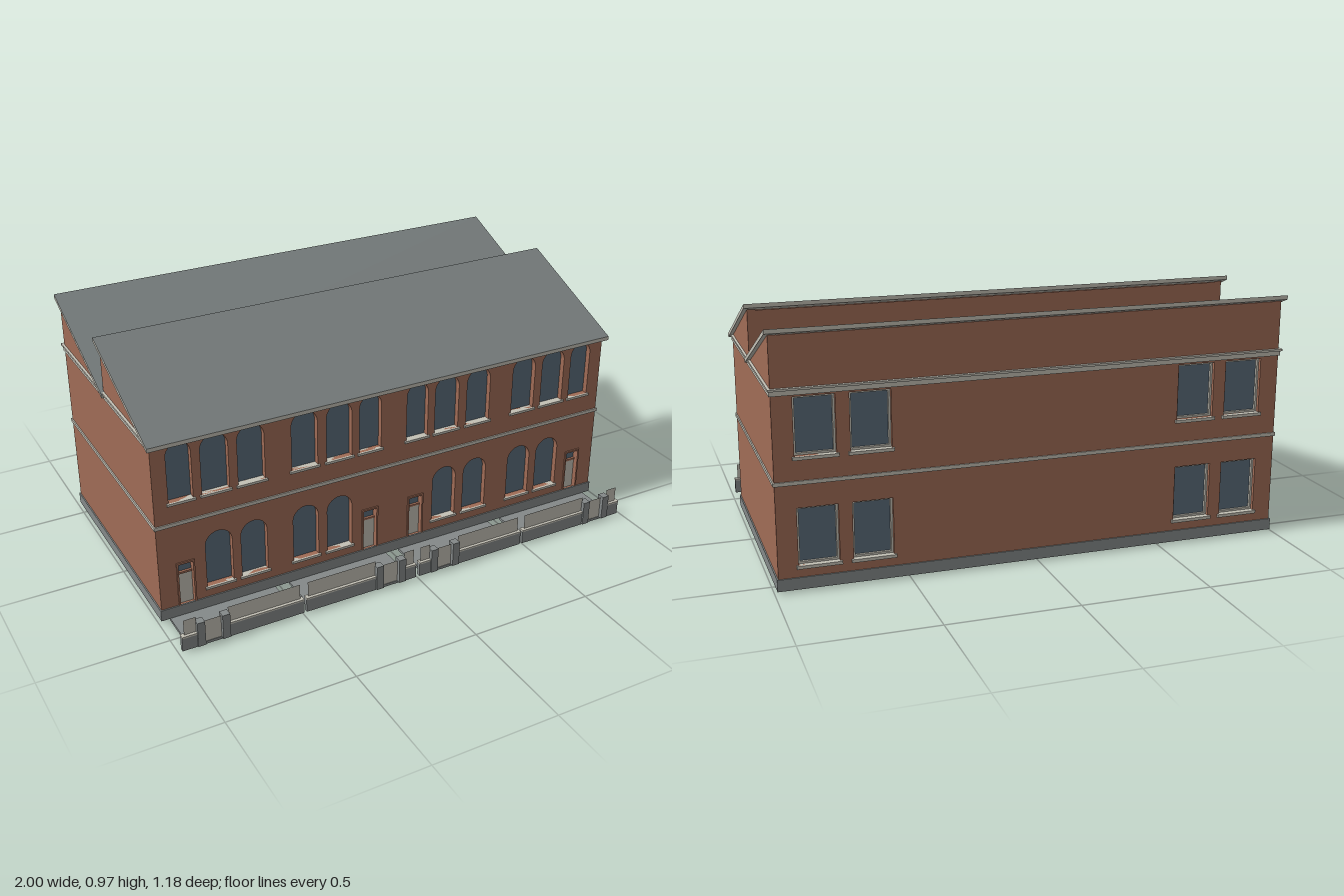
import * as THREE from 'three';

const mat = (name, color, side = THREE.FrontSide) => {
  const m = new THREE.MeshStandardMaterial({ color, side });
  m.name = name;
  return m;
};

export function createModel() {
  const brick = mat('brick', 0xa06c56);
  const trim = mat('trim', 0xc3c0b5);
  const panel = mat('panel', 0xc3c0b5, THREE.DoubleSide);
  const stone = mat('stone', 0x848989);
  const slate = mat('slate', 0x757b7b);
  const glass = mat('glass', 0x5a6c7a, THREE.DoubleSide);

  const model = new THREE.Group();
  model.name = 'terraceBuilding';

  const add = (name, geo, material, x = 0, y = 0, z = 0) => {
    const m = new THREE.Mesh(geo, material);
    m.name = name;
    m.position.set(x, y, z);
    model.add(m);
    return m;
  };
  // Box given by its limits on each axis
  const box = (name, material, x0, x1, y0, y1, z0, z1) =>
    add(name, new THREE.BoxGeometry(x1 - x0, y1 - y0, z1 - z0), material,
      (x0 + x1) / 2, (y0 + y1) / 2, (z0 + z1) / 2);
  const both = (list) => list.flatMap((v) => [v, -v]);

  const rect = (T, x0, x1, y0, y1) => {
    const s = new T();
    s.moveTo(x0, y0);
    s.lineTo(x1, y0);
    s.lineTo(x1, y1);
    s.lineTo(x0, y1);
    s.closePath();
    return s;
  };
  const arch = (T, x, w, y0, y1) => {
    const s = new T(), r = w / 2;
    s.moveTo(x - r, y0);
    s.lineTo(x + r, y0);
    s.lineTo(x + r, y1 - r);
    s.absarc(x, y1 - r, r, 0, Math.PI, false);
    s.closePath();
    return s;
  };
  const extrude = (shape, depth) =>
    new THREE.ExtrudeGeometry(shape, { depth, bevelEnabled: false, curveSegments: 12 });

  // Front wall with arched windows and doors
  const front = rect(THREE.Shape, -0.985, 0.985, 0.01, 0.744);
  const wide = both([0.744, 0.601, 0.384, 0.238]);
  const narrow = both([0.88, 0.104]);
  const arches = [
    ...wide.map((x) => [x, 0.108, 0.5, 0.736]),
    ...narrow.map((x) => [x, 0.095, 0.5, 0.736]),
    ...wide.map((x) => [x, 0.108, 0.1, 0.332]),
  ];
  for (const a of arches) {
    front.holes.push(arch(THREE.Path, ...a));
    add('archedWindow', new THREE.ShapeGeometry(arch(THREE.Shape, ...a)), glass, 0, 0, 0.362);
    const [x, w, y] = a;
    box('windowSill', trim, x - w / 2 - 0.008, x + w / 2 + 0.008, y - 0.01, y, 0.36, 0.393);
  }
  for (const x of narrow) {
    front.holes.push(rect(THREE.Path, x - 0.029, x + 0.029, 0.05, 0.232));
    box('doorLeaf', trim, x - 0.029, x + 0.029, 0.05, 0.18, 0.357, 0.368);
    box('doorTransomBar', brick, x - 0.029, x + 0.029, 0.18, 0.188, 0.357, 0.372);
    add('doorTransomLight', new THREE.PlaneGeometry(0.058, 0.044), glass, x, 0.21, 0.362);
    // Raised surround
    for (const s of [-1, 1])
      box('doorJamb', brick, x + s * 0.0325 - 0.0035, x + s * 0.0325 + 0.0035, 0.055, 0.232, 0.38, 0.39);
    box('doorLintel', brick, x - 0.036, x + 0.036, 0.232, 0.24, 0.38, 0.39);
  }
  add('frontWall', extrude(front, 0.03), brick, 0, 0, 0.355);

  // Back wall with paired rectangular windows
  const back = rect(THREE.Shape, -0.985, 0.985, 0.01, 0.94);
  for (const x of both([0.835, 0.635])) for (const y of [0.1, 0.505]) {
    const x0 = x - 0.075, x1 = x + 0.075, y1 = y + 0.215;
    back.holes.push(rect(THREE.Path, x0, x1, y, y1));
    add('backWindow', new THREE.PlaneGeometry(0.15, 0.215), glass, x, y + 0.1075, -0.545);
    box('backWindowSill', trim, x0 - 0.008, x1 + 0.008, y - 0.012, y, -0.58, -0.545);
    const frame = rect(THREE.Shape, x0, x1, y, y1);
    frame.holes.push(rect(THREE.Path, x0 + 0.008, x1 - 0.008, y + 0.008, y1 - 0.008));
    add('backWindowFrame', extrude(frame, 0.01), trim, 0, 0, -0.556);
  }
  add('backWall', extrude(back, 0.03), brick, 0, 0, -0.57);

  // Side walls with a sawtooth top
  const side = new THREE.Shape([
    [0.385, 0.01], [0.385, 0.744], [-0.09, 0.94], [-0.09, 0.744], [-0.57, 0.942], [-0.57, 0.01],
  ].map(([z, y]) => new THREE.Vector2(z, y)));
  for (const x of [0.985, -0.955])
    add('sideWall', extrude(side, 0.03), brick, x).rotation.y = -Math.PI / 2;
  box('roofStepWall', brick, -0.985, 0.985, 0.745, 0.936, -0.09, -0.07);

  // Bands running round the building
  const band = (name, material, y0, y1, out) => {
    const s = rect(THREE.Shape, -0.985 - out, 0.985 + out, -0.385 - out, 0.57 + out);
    s.holes.push(rect(THREE.Path, -0.983, 0.983, -0.383, 0.568));
    add(name, extrude(s, y1 - y0), material, 0, y0, 0).rotation.x = -Math.PI / 2;
  };
  band('plinth', stone, 0.01, 0.055, 0.005);
  band('stringCourse', trim, 0.402, 0.416, 0.005);
  band('cornice', trim, 0.727, 0.747, 0.005);
  box('eavesPlate', trim, -0.995, 0.995, 0.746, 0.754, -0.585, 0.395);

  // Two sloping roofs, sheared so that their ends stay vertical
  for (const z of [0.146, -0.33]) {
    const g = new THREE.BoxGeometry(2, 0.016, 0.52);
    const p = g.attributes.position;
    for (let i = 0; i < p.count; i++) p.setY(i, p.getY(i) - 0.4135 * p.getZ(i));
    g.computeVertexNormals();
    add('roofSlope', g, [trim, trim, slate, trim, trim, trim], 0, 0.85, z);
  }

  // Forecourt and front boundary, mirrored
  for (const s of [-1, 1]) {
    const span = (name, material, a, b, ...rest) =>
      box(name, material, Math.min(s * a, s * b), Math.max(s * a, s * b), ...rest);
    for (const [a, b] of [[0.03, 0.462], [0.522, 0.955]])
      span('forecourtSlab', stone, a, b, 0, 0.011, 0.385, 0.58);
    for (const [a, b] of [[0.008, 0.06], [0.185, 0.486], [0.496, 0.8], [0.922, 0.985]]) {
      span('boundaryWall', stone, a, b, 0.005, 0.06, 0.57, 0.587);
      span('wallCoping', trim, a, b, 0.06, 0.067, 0.567, 0.59);
    }
    for (const x of [0.073, 0.172, 0.813, 0.911])
      span('gatePillar', stone, x - 0.015, x + 0.015, 0.008, 0.11, 0.562, 0.594);
    // Thin railing panels and gates
    const sheet = (name, a, b, y0, y1) =>
      add(name, new THREE.PlaneGeometry(b - a, y1 - y0), panel, s * (a + b) / 2, (y0 + y1) / 2, 0.578);
    for (const [a, b] of [[0.015, 0.058], [0.187, 0.476], [0.508, 0.8], [0.925, 0.973]])
      sheet('railingPanel', a, b, 0.067, 0.13);
    for (const [a, b] of [[0.088, 0.157], [0.828, 0.896]])
      sheet('gate', a, b, 0.01, 0.102);
  }
  return model;
}
